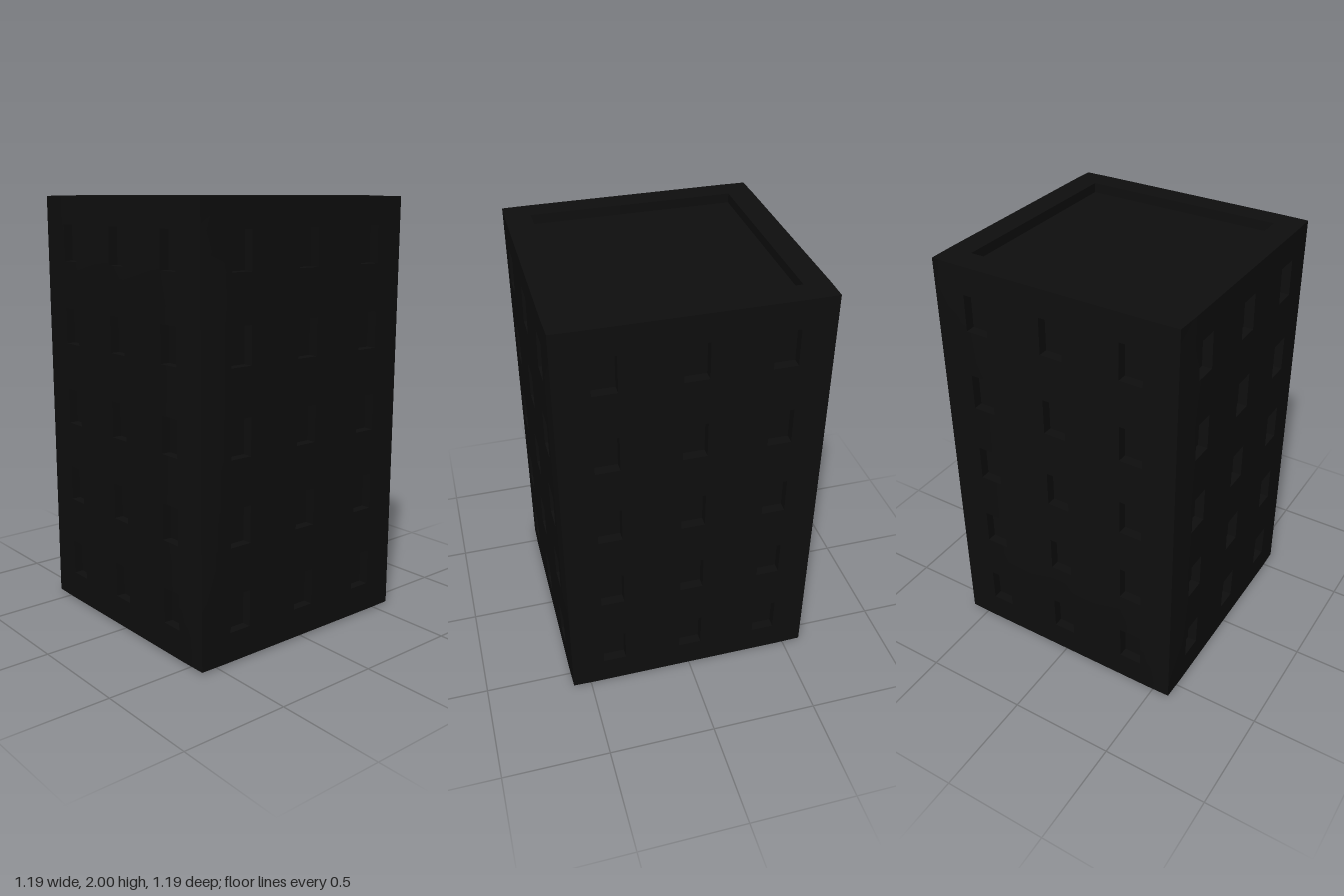
import * as THREE from 'three';
import { toCreasedNormals } from 'three/addons/utils/BufferGeometryUtils.js';

const HALF = 0.593, ROOF = 0.475, DEPTH = 0.045;
const WIN_W = 0.11, WIN_H = 0.17;
const columns = [-0.382, 0, 0.382];
const rows = [-2, -1, 0, 1, 2].map(k => k * 0.39 + 0.005);

// grid lines shared by every panel, so neighbouring edges meet exactly
const across = [-HALF, -ROOF, ...columns.flatMap(c => [c - WIN_W / 2, c + WIN_W / 2]), ROOF, HALF];
const upward = [-1, ...rows.flatMap(c => [c - WIN_H / 2, c + WIN_H / 2]), 1];

const isWindow = (u, v) =>
  columns.some(c => Math.abs(u - c) < WIN_W / 2) && rows.some(r => Math.abs(v - r) < WIN_H / 2);
const isRoofWell = (u, v) => Math.abs(u) < ROOF && Math.abs(v) < ROOF;

// the block's faces swell very slightly: edges and corners are drawn in
function soften(p) {
  const s = [Math.abs(p.x) / HALF, Math.abs(p.y), Math.abs(p.z) / HALF]
    .map(t => THREE.MathUtils.smoothstep(t, 0.7, 1));
  p.x *= 1 - 0.011 * Math.max(s[1] * 0.6, s[2]);
  p.z *= 1 - 0.011 * Math.max(s[1] * 0.6, s[0]);
  p.y *= 1 - (p.y < 0 ? 0.009 : 0.004) * Math.max(s[0], s[2]);
  p.y += 1;
  return p;
}

// flat panel facing +z at distance w; cells that pass the test are sunk with side walls
function panel(us, vs, w, sunk, turn) {
  const pos = [];
  const quad = (...corners) => {
    const q = corners.map(c => soften(new THREE.Vector3(...c).applyMatrix4(turn)));
    for (const i of [0, 1, 2, 0, 2, 3]) pos.push(q[i].x, q[i].y, q[i].z);
  };
  const hole = (i, j) => sunk((us[i] + us[i + 1]) / 2, (vs[j] + vs[j + 1]) / 2);
  for (let i = 0; i < us.length - 1; i++) {
    for (let j = 0; j < vs.length - 1; j++) {
      const [a, b, c, d] = [us[i], us[i + 1], vs[j], vs[j + 1]];
      const h = hole(i, j), f = h ? w - DEPTH : w;
      quad([a, c, f], [b, c, f], [b, d, f], [a, d, f]);
      if (!h) continue;
      // reveals where the sunk cell meets the outer surface
      if (!hole(i - 1, j)) quad([a, c, w], [a, c, f], [a, d, f], [a, d, w]);
      if (!hole(i + 1, j)) quad([b, c, f], [b, c, w], [b, d, w], [b, d, f]);
      if (!hole(i, j - 1)) quad([a, c, w], [b, c, w], [b, c, f], [a, c, f]);
      if (!hole(i, j + 1)) quad([a, d, f], [b, d, f], [b, d, w], [a, d, w]);
    }
  }
  const g = new THREE.BufferGeometry();
  g.setAttribute('position', new THREE.Float32BufferAttribute(pos, 3));
  return toCreasedNormals(g, Math.PI / 6);
}

export function createModel() {
  const group = new THREE.Group();
  group.name = 'towerBlock';
  const material = new THREE.MeshStandardMaterial({ color: 0x0e0e0e });
  const add = (name, geometry) => {
    const mesh = new THREE.Mesh(geometry, material);
    mesh.name = name;
    group.add(mesh);
  };

  // four walls with recessed windows
  ['frontWall', 'leftWall', 'backWall', 'rightWall'].forEach((name, k) =>
    add(name, panel(across, upward, HALF, isWindow, new THREE.Matrix4().makeRotationY(k * Math.PI / 2))));

  // sunken roof inside a parapet, and the closed underside
  add('roof', panel(across, across, 1, isRoofWell, new THREE.Matrix4().makeRotationX(-Math.PI / 2)));
  add('underside', panel(across, across, 1, () => false, new THREE.Matrix4().makeRotationX(Math.PI / 2)));
  return group;
}
